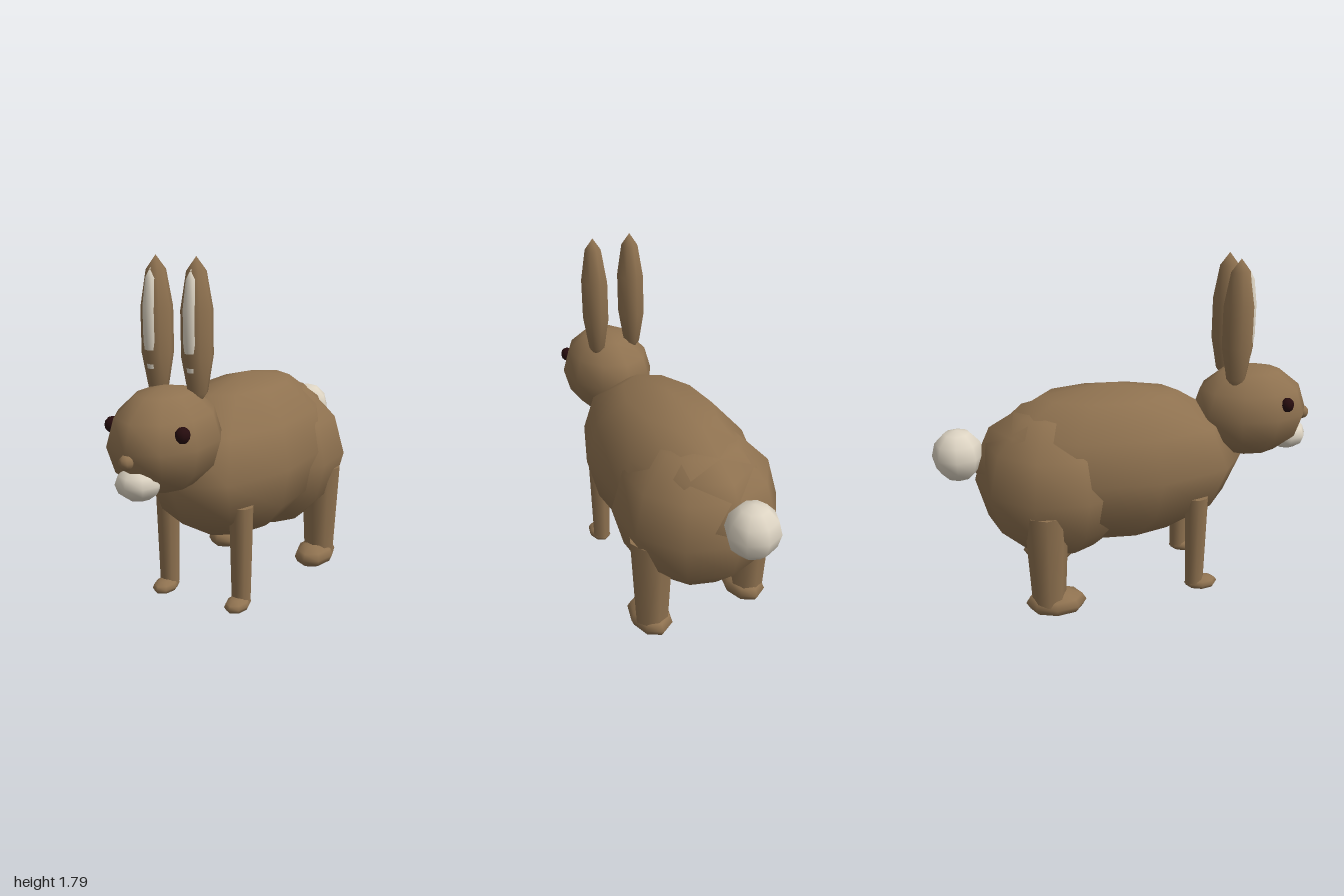
import * as THREE from 'three';

export function createModel() {
  const model = new THREE.Group();
  model.name = 'rabbit';

  const material = (name, color) => {
    const m = new THREE.MeshStandardMaterial({ color });
    m.name = name;
    return m;
  };
  const fur = material('brown fur', 0x8f7250);
  const cream = material('cream fur', 0xddd4c3);
  const dark = material('dark eye', 0x260c0e);

  const add = (name, geometry, mat, position) => {
    const mesh = new THREE.Mesh(geometry, mat);
    mesh.name = name;
    mesh.position.set(...position);
    model.add(mesh);
    return mesh;
  };

  // Coarse smooth ellipsoid with a column of vertices facing the front
  const ellipsoid = (name, mat, position, radii, around = 8, rings = 6) => {
    const geometry = new THREE.SphereGeometry(1, around, rings);
    geometry.rotateY(Math.PI / 2);
    geometry.scale(...radii);
    return add(name, geometry, mat, position);
  };

  // Tapered leg between two heights
  const leg = (name, x, z, rTop, rBottom, yTop, yBottom) =>
    add(name, new THREE.CylinderGeometry(rTop, rBottom, yTop - yBottom, 8), fur,
      [x, (yTop + yBottom) / 2, z]);

  // Trunk
  ellipsoid('body', fur, [0, 0.735, -0.08], [0.39, 0.425, 0.72], 10);
  ellipsoid('haunches', fur, [0, 0.66, -0.36], [0.425, 0.42, 0.43], 10);
  ellipsoid('tail', cream, [0, 0.805, -0.867], [0.133, 0.138, 0.133]);

  // Head
  ellipsoid('head', fur, [0, 0.985, 0.665], [0.245, 0.247, 0.31], 10);
  ellipsoid('muzzle', cream, [0, 0.835, 0.88], [0.107, 0.08, 0.105]);
  ellipsoid('nose', fur, [0, 0.95, 0.965], [0.035, 0.035, 0.035]);

  for (const [side, s] of [['left', 1], ['right', -1]]) {
    // Face and ears
    ellipsoid(`${side} eye`, dark, [s * 0.187, 1.058, 0.812], [0.035, 0.038, 0.036]);
    ellipsoid(`${side} ear`, fur, [s * 0.107, 1.457, 0.557], [0.075, 0.335, 0.085], 8, 5);
    ellipsoid(`${side} inner ear`, cream, [s * 0.107, 1.49, 0.6], [0.04, 0.25, 0.0455], 8, 5);

    // Front leg and paw
    leg(`${side} front leg`, s * 0.215, 0.347, 0.062, 0.049, 0.59, 0.08);
    ellipsoid(`${side} front paw`, fur, [s * 0.215, 0.08, 0.383], [0.06, 0.038, 0.089]);

    // Hind leg and foot
    leg(`${side} hind leg`, s * 0.292, -0.437, 0.113, 0.086, 0.59, 0.08);
    ellipsoid(`${side} hind foot`, fur, [s * 0.285, 0.07, -0.4], [0.106, 0.07, 0.157]);
  }

  return model;
}
